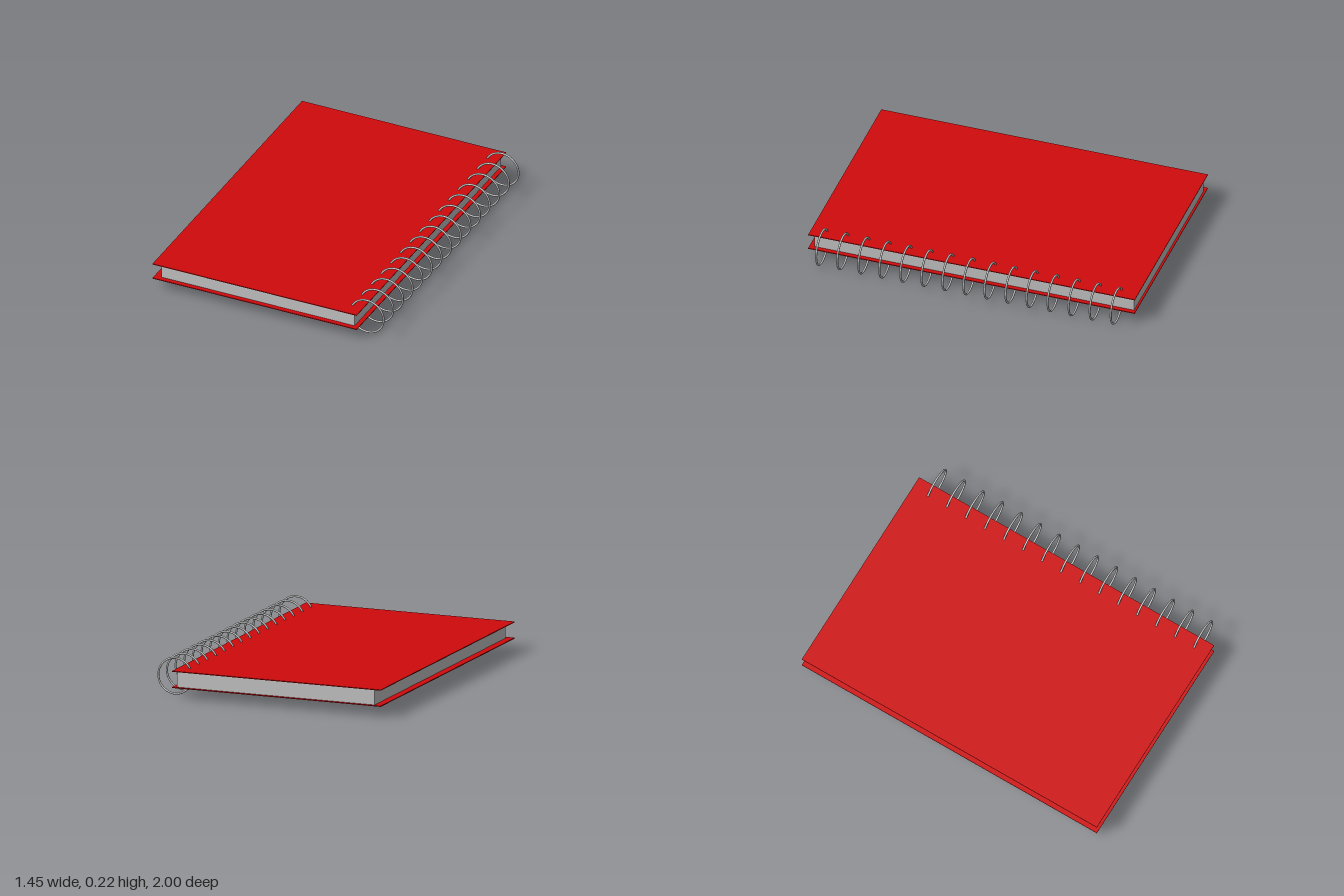
import * as THREE from 'three';

export function createModel() {
  const model = new THREE.Group();
  const grey = new THREE.MeshStandardMaterial({ color: 0xcccccc });
  const red = new THREE.MeshStandardMaterial({ color: 0xd00a0c });

  // Box given by its lower and upper corners
  function slab(name, min, max, material) {
    const size = max.map((v, i) => v - min[i]);
    const mesh = new THREE.Mesh(new THREE.BoxGeometry(...size), material);
    mesh.position.set(...max.map((v, i) => (v + min[i]) / 2));
    mesh.name = name;
    model.add(mesh);
  }

  // Covers overhang the page block
  slab('backCover', [-0.724, 0.062, -1], [0.589, 0.067, 1], red);
  slab('frontCover', [-0.724, 0.158, -1], [0.589, 0.163, 1], red);
  slab('pages', [-0.68, 0.067, -0.987], [0.562, 0.158, 0.97], grey);

  // Row of wire binding rings along the spine
  const binding = new THREE.Group();
  binding.name = 'binding';
  const wire = 0.006, outer = 0.112, count = 15;
  const ringGeometry = new THREE.TorusGeometry(outer - wire, wire, 10, 48);
  for (let i = 0; i < count; i++) {
    const ring = new THREE.Mesh(ringGeometry, grey);
    ring.name = 'bindingRing';
    ring.position.set(0.612, outer, THREE.MathUtils.lerp(-0.897, 0.907, i / (count - 1)));
    binding.add(ring);
  }
  model.add(binding);

  return model;
}
